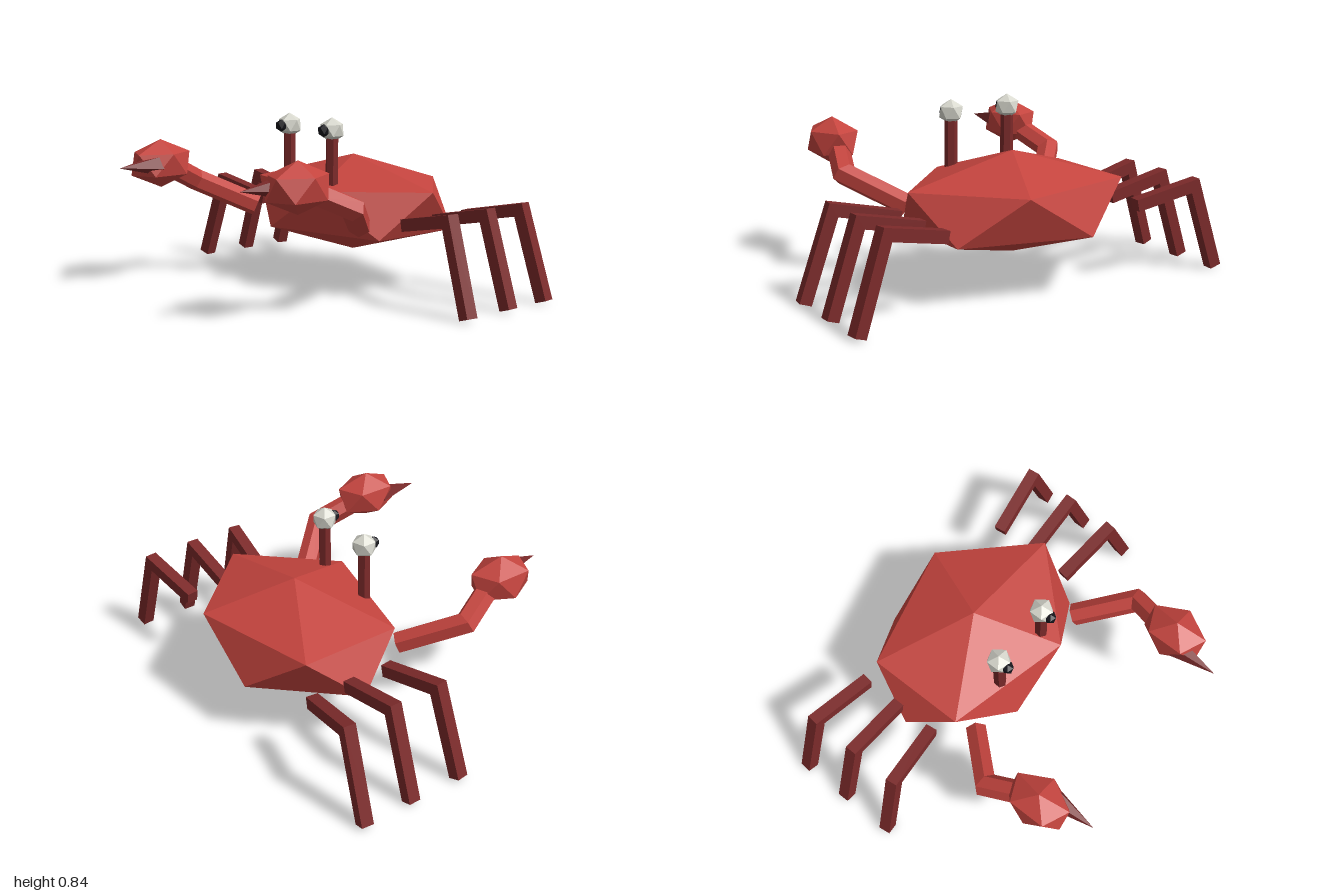
import * as THREE from 'three';

const paint = (color) => new THREE.MeshStandardMaterial({ color, flatShading: true });
const shellRed = paint(0xc4443e);
const limbRed = paint(0x7c2a2a);
const eyeWhite = paint(0xd8d8ce);
const pupilBlack = paint(0x14141a);

function part(name, geometry, material, x = 0, y = 0, z = 0) {
  const mesh = new THREE.Mesh(geometry, material);
  mesh.name = name;
  mesh.position.set(x, y, z);
  return mesh;
}

// Icosahedron standing on a corner, stretched per axis
function gem(rx, ry, rz) {
  const tilt = Math.atan(2 / (1 + Math.sqrt(5)));
  return new THREE.IcosahedronGeometry(1, 0).rotateZ(-tilt).scale(rx, ry, rz);
}

// Prism swept along straight segments with mitred joints and closed ends
function limb(path, radius, sides, turn = 0) {
  const pts = path.map((p) => new THREE.Vector3(...p));
  const dirs = pts.slice(1).map((p, i) => p.clone().sub(pts[i]).normalize());
  const u = new THREE.Vector3(0, 1, 0).addScaledVector(dirs[0], -dirs[0].y).normalize();
  const v = dirs[0].clone().cross(u);
  const offsets = [];
  for (let k = 0; k < sides; k++) {
    const a = turn + (k / sides) * Math.PI * 2;
    offsets.push(u.clone().multiplyScalar(Math.cos(a) * radius).addScaledVector(v, Math.sin(a) * radius));
  }
  const pos = [];
  const index = [];
  pts.forEach((p, i) => {
    const before = dirs[Math.max(i - 1, 0)];
    const after = dirs[Math.min(i, dirs.length - 1)];
    const plane = before.clone().add(after);
    for (const o of offsets) {
      o.addScaledVector(before, -o.dot(plane) / before.dot(plane));
      pos.push(p.x + o.x, p.y + o.y, p.z + o.z);
      o.addScaledVector(after, -o.dot(after));
    }
    if (i === 0) return;
    for (let k = 0; k < sides; k++) {
      const n = (k + 1) % sides;
      const a = (i - 1) * sides;
      const b = i * sides;
      index.push(a + k, a + n, b + k, a + n, b + n, b + k);
    }
  });
  const last = (pts.length - 1) * sides;
  for (let k = 1; k < sides - 1; k++) {
    index.push(0, k + 1, k, last, last + k, last + k + 1);
  }
  const geometry = new THREE.BufferGeometry();
  geometry.setAttribute('position', new THREE.Float32BufferAttribute(pos, 3));
  geometry.setIndex(index);
  geometry.computeVertexNormals();
  return geometry;
}

// Root, knee and foot depth of each leg
const legDepths = [
  ['frontLeg', -0.2, -0.16, -0.14],
  ['middleLeg', -0.407, -0.407, -0.407],
  ['backLeg', -0.605, -0.645, -0.657],
];

export function createModel() {
  const crab = new THREE.Group();
  crab.name = 'crab';
  crab.add(part('body', gem(0.615, 0.24, 0.464), shellRed, 0, 0.395, -0.343));

  for (const [side, s] of [['left', 1], ['right', -1]]) {
    const half = new THREE.Group();
    half.name = side + 'Side';

    // Walking legs
    for (const [name, root, knee, foot] of legDepths) {
      const path = [[s * 0.517, 0.362, root], [s * 0.83, 0.428, knee], [s * 0.969, 0.012, foot]];
      half.add(part(name, limb(path, 0.041, 4, Math.PI / 4), limbRed));
    }

    // Claw arm, claw and its pointed tip
    const arm = [[s * 0.383, 0.36, -0.03], [s * 0.59, 0.49, 0.2], [s * 0.535, 0.565, 0.36]];
    half.add(part('clawArm', limb(arm, 0.055, 6), shellRed));
    half.add(part('claw', gem(0.128, 0.118, 0.173), shellRed, s * 0.522, 0.603, 0.458));
    const spike = new THREE.ConeGeometry(0.052, 0.22, 5).rotateX(Math.PI / 2);
    half.add(part('clawTip', spike, limbRed, s * 0.467, 0.605, 0.617));

    // Eye on its stalk
    const stalk = new THREE.CylinderGeometry(0.031, 0.031, 0.28, 6);
    half.add(part('eyeStalk', stalk, limbRed, s * 0.157, 0.61, -0.06));
    half.add(part('eye', gem(0.062, 0.06, 0.062), eyeWhite, s * 0.157, 0.785, -0.06));
    half.add(part('pupil', gem(0.031, 0.031, 0.031), pupilBlack, s * 0.157, 0.785, -0.008));
    crab.add(half);
  }
  return crab;
}
